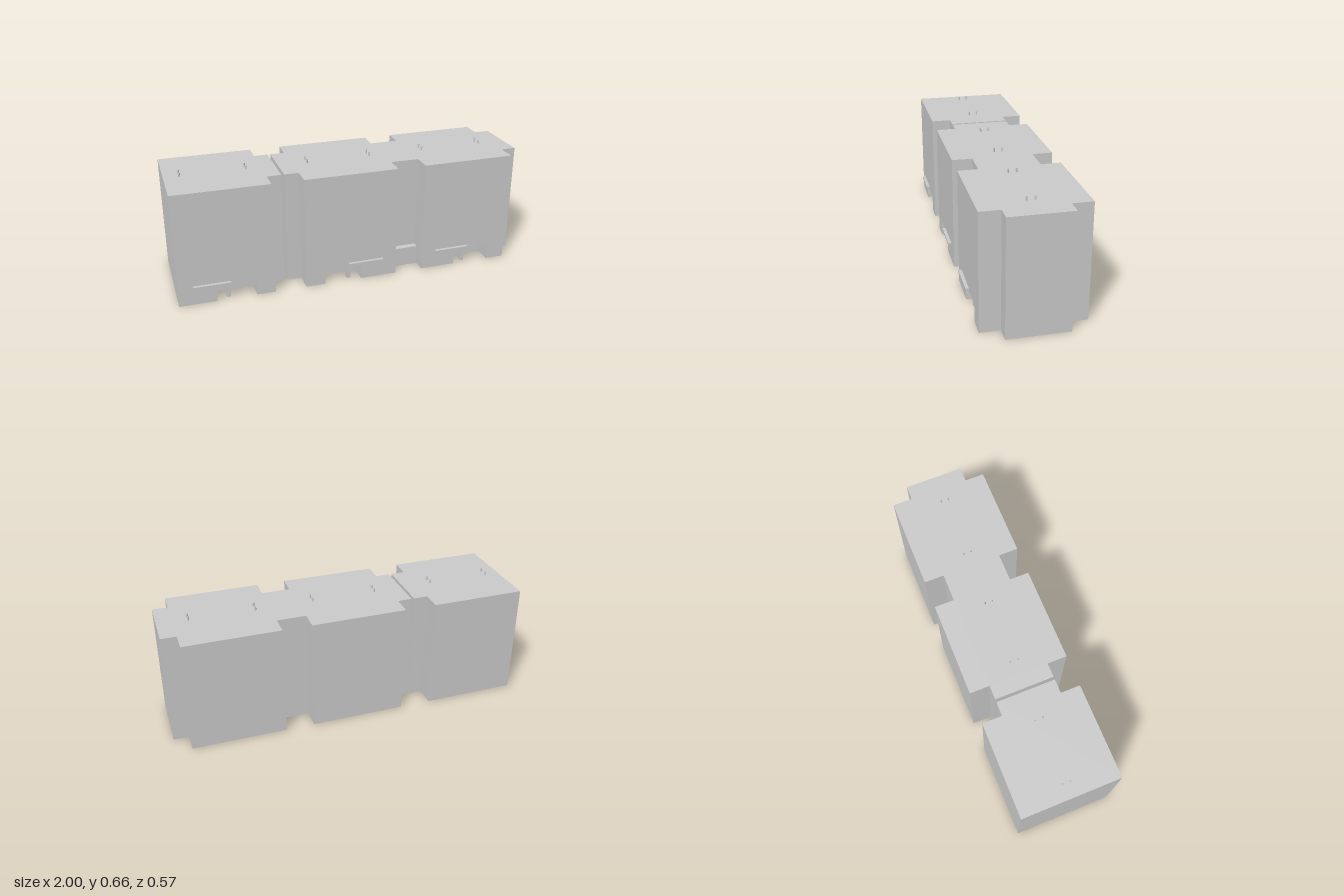
import * as THREE from 'three';

const FRONT = 0.268, BACK = -0.286, INNER_FRONT = 0.158, INNER_BACK = -0.175;
const HEIGHT = 0.638, DOOR = 0.097, RECESS = 0.165;
const material = new THREE.MeshStandardMaterial({ color: 0xcccccc, flatShading: true, side: THREE.DoubleSide });

function add(parent, name, geometry, x = 0, y = 0, z = 0) {
  const mesh = new THREE.Mesh(geometry, material);
  mesh.name = name;
  mesh.position.set(x, y, z);
  parent.add(mesh);
}

// Upright walls along a plan outline of [x, z] points, counterclockwise from above
function walls(points, y0, y1, closed = true) {
  const pos = [];
  const count = closed ? points.length : points.length - 1;
  for (let i = 0; i < count; i++) {
    const [ax, az] = points[i], [bx, bz] = points[(i + 1) % points.length];
    pos.push(ax, y0, az, bx, y0, bz, bx, y1, bz, ax, y0, az, bx, y1, bz, ax, y1, az);
  }
  const g = new THREE.BufferGeometry();
  g.setAttribute('position', new THREE.Float32BufferAttribute(pos, 3));
  g.computeVertexNormals();
  return g;
}

// Flat horizontal sheet filling a plan outline
function sheet(points) {
  const shape = new THREE.Shape(points.map(([x, z]) => new THREE.Vector2(x, -z)));
  return new THREE.ShapeGeometry(shape).rotateX(-Math.PI / 2);
}

// Hollow building: plain walls above door height, recessed entrances below
function building(name, plan, entrances) {
  const group = new THREE.Group();
  group.name = name;
  const lower = [];
  plan.forEach((p, i) => {
    lower.push(p);
    const q = plan[(i + 1) % plan.length];
    for (const [x0, x1] of entrances) {
      if (p[1] === FRONT && q[1] === FRONT && p[0] < x0 && q[0] > x1) {
        lower.push([x0, FRONT], [x0, RECESS], [x1, RECESS], [x1, FRONT]);
      }
    }
  });
  add(group, 'upperWalls', walls(plan, DOOR, HEIGHT));
  add(group, 'lowerWalls', walls(lower, 0, DOOR));
  add(group, 'roof', sheet(plan), 0, HEIGHT);
  for (const [x0, x1] of entrances) {
    add(group, 'entranceCeiling',
      sheet([[x0, FRONT], [x1, FRONT], [x1, RECESS], [x0, RECESS]]), 0, DOOR);
  }
  return group;
}

export function createModel() {
  const model = new THREE.Group();
  model.name = 'apartmentBlocks';

  // Detached section with one stepped end
  model.add(building('singleSection', [
    [-1, FRONT], [-0.475, FRONT], [-0.475, INNER_FRONT], [-0.396, INNER_FRONT],
    [-0.396, INNER_BACK], [-0.475, INNER_BACK], [-0.475, BACK], [-1, BACK],
  ], [[-0.795, -0.578]]));

  // Two sections joined by a narrower link
  model.add(building('doubleSection', [
    [-0.38, INNER_FRONT], [-0.3, INNER_FRONT], [-0.3, FRONT], [0.23, FRONT],
    [0.23, INNER_FRONT], [0.39, INNER_FRONT], [0.39, FRONT], [0.915, FRONT],
    [0.915, INNER_FRONT], [1, INNER_FRONT], [1, INNER_BACK], [0.915, INNER_BACK],
    [0.915, BACK], [0.39, BACK], [0.39, INNER_BACK], [0.23, INNER_BACK],
    [0.23, BACK], [-0.3, BACK], [-0.3, INNER_BACK], [-0.38, INNER_BACK],
  ], [[-0.19, 0.02], [0.593, 0.81]]));

  // Entrance canopies with a slim pillar beside each door: [canopy centre, pillar centre]
  for (const [canopyX, pillarX] of [[-0.818, -0.729], [0.047, -0.045], [0.572, 0.661]]) {
    add(model, 'canopy', new THREE.BoxGeometry(0.203, 0.014, 0.024), canopyX, 0.103, 0.274);
    add(model, 'pillar', new THREE.BoxGeometry(0.022, DOOR, 0.03), pillarX, DOOR / 2, 0.228);
  }

  // Low porch in front of the link
  const porch = [[0.23, INNER_FRONT], [0.23, 0.195], [0.39, 0.195], [0.39, INNER_FRONT]];
  add(model, 'porchWalls', walls(porch, 0, 0.11, false));
  add(model, 'porchRoof', sheet(porch), 0, 0.11);

  // Pairs of roof vents
  for (const x of [-0.915, -0.56, -0.217, 0.147, 0.47, 0.832]) {
    for (const z of [0.02, -0.024]) {
      add(model, 'roofVent', new THREE.CylinderGeometry(0.005, 0.005, 0.022, 8), x, HEIGHT + 0.011, z);
    }
  }
  return model;
}
